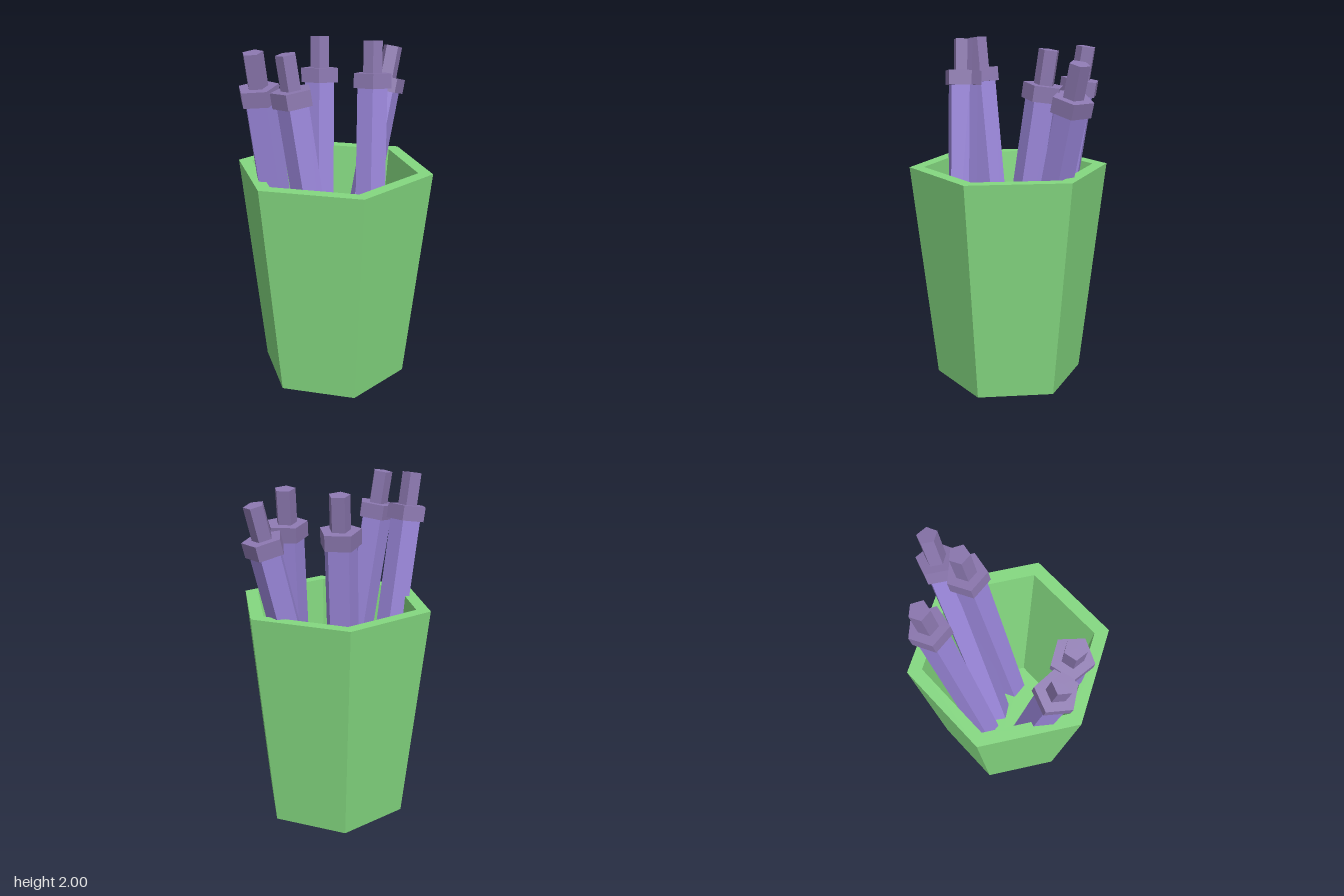
import * as THREE from 'three';

const material = (color) => new THREE.MeshStandardMaterial({ color, flatShading: true });

export function createModel() {
  const model = new THREE.Group();
  model.name = 'penCup';
  const green = material(0x84d880);
  const purple = material(0x9c88dc);
  const mutedPurple = material(0x8c78b0);

  // Hollow hexagonal cup: underside, outer wall, rim, inner wall, floor
  const profile = [[0, 0], [0.438, 0], [0.577, 1.285], [0.493, 1.285], [0.361, 0.065], [0, 0.065]]
    .map(([r, y]) => new THREE.Vector2(r, y));
  const cup = new THREE.Mesh(new THREE.LatheGeometry(profile, 6), green);
  cup.name = 'cup';
  cup.position.z = 0.017;
  model.add(cup);

  // Five-sided pen running from its bottom point to its tip point
  function addPen(name, bottom, tip, roll) {
    const start = new THREE.Vector3(...bottom);
    const axis = new THREE.Vector3(...tip).sub(start);
    const length = axis.length();
    const pen = new THREE.Group();
    pen.name = name;
    pen.position.copy(start);
    pen.quaternion.setFromUnitVectors(new THREE.Vector3(0, 1, 0), axis.normalize());

    const addPart = (partName, radius, from, to, mat) => {
      const part = new THREE.Mesh(new THREE.CylinderGeometry(radius, radius, to - from, 5), mat);
      part.name = partName;
      part.position.y = (from + to) / 2;
      part.rotation.y = roll;
      pen.add(part);
    };
    addPart('barrel', 0.092, 0, length - 0.24, purple);
    addPart('collar', 0.115, length - 0.27, length - 0.185, mutedPurple);
    addPart('button', 0.058, length - 0.2, length, mutedPurple);
    model.add(pen);
  }

  const turned = Math.PI + 0.13;
  addPen('backRightPen', [-0.175, 0.08, -0.03], [-0.355, 1.965, -0.235], turned);
  addPen('backPen', [-0.045, 0.085, -0.055], [-0.045, 1.905, -0.545], 0);
  addPen('backLeftPen', [0.157, 0.08, -0.123], [-0.015, 1.965, -0.33], turned);
  addPen('frontPen', [-0.11, 0.08, 0.215], [-0.11, 1.99, 0.505], 0);
  addPen('frontLeftPen', [0.228, 0.08, 0.219], [0.052, 1.99, 0.418], -0.707);

  return model;
}
